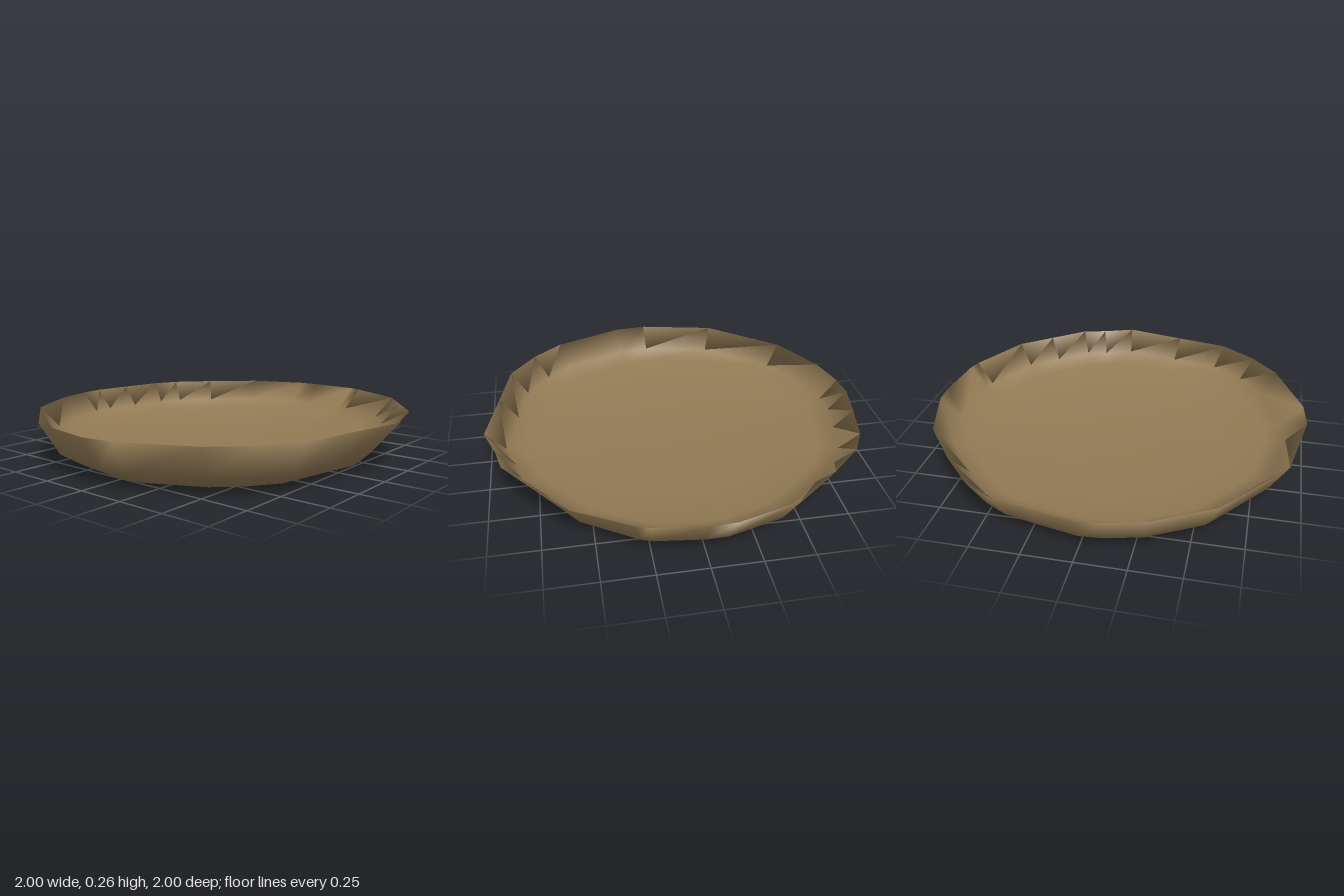
import * as THREE from 'three';

// Hand-shaped rim outline seen from above: [x, z, dent in the outer wall]
const RIM = [
  [1, -0.13, 0.04], [0.94, -0.3, 0.04], [0.91, -0.43, 0.04], [0.77, -0.61, 0.04], [0.64, -0.78, 0.02],
  [0.33, -0.95, 0], [0.27, -0.97, 0], [0, -1, 0], [-0.12, -0.995, 0], [-0.43, -0.9, 0],
  [-0.67, -0.71, 0], [-0.84, -0.55, 0], [-0.91, -0.42, 0], [-0.96, -0.2, 0], [-1, 0, 0],
  [-0.99, 0.13, 0], [-0.94, 0.33, 0], [-0.78, 0.62, 0], [-0.4, 0.92, 0],
  [0.02, 1, 0], [0.2, 0.98, 0], [0.57, 0.82, 0], [0.73, 0.68, 0], [0.87, 0.49, 0], [0.93, 0.2, 0.02],
];

// Cross-section from the underside, over the rim, into the bowl: [outline scale, height, share of dent]
const SECTION = [
  [0.45, 0.02, 0], [0.78, 0.02, 0], [0.9, 0.092, 1], [1, 0.26, 0],
  [0.9, 0.15, 0], [0.8, 0.114, 0], [0.55, 0.086, 0], [0.28, 0.073, 0],
];

function dishGeometry() {
  const n = RIM.length;
  const positions = [];
  const index = [];
  for (const [scale, h, share] of SECTION) {
    for (const [x, z, dent] of RIM) {
      const s = scale - dent * share;
      // the whole dish leans slightly up towards +x
      positions.push(x * s, h + 0.014 * x * s, z * s);
    }
  }
  const under = positions.length / 3;
  const floor = under + 1;
  positions.push(0, 0.02, 0, 0, 0.07, 0);

  const last = (SECTION.length - 1) * n;
  for (let i = 0; i < n; i++) {
    const j = (i + 1) % n;
    for (let k = 0; k < SECTION.length - 1; k++) {
      const a = k * n + i, b = k * n + j;
      index.push(a, b, b + n, a, b + n, a + n);
    }
    index.push(under, j, i, floor, last + i, last + j);
  }
  const geometry = new THREE.BufferGeometry();
  geometry.setAttribute('position', new THREE.Float32BufferAttribute(positions, 3));
  geometry.setIndex(index);
  geometry.computeVertexNormals();
  return geometry;
}

export function createModel() {
  const model = new THREE.Group();
  model.name = 'shallowDish';
  const clay = new THREE.MeshStandardMaterial({ color: 0x937b55 });
  clay.name = 'brownClay';
  const dish = new THREE.Mesh(dishGeometry(), clay);
  dish.name = 'dish';
  model.add(dish);
  return model;
}
